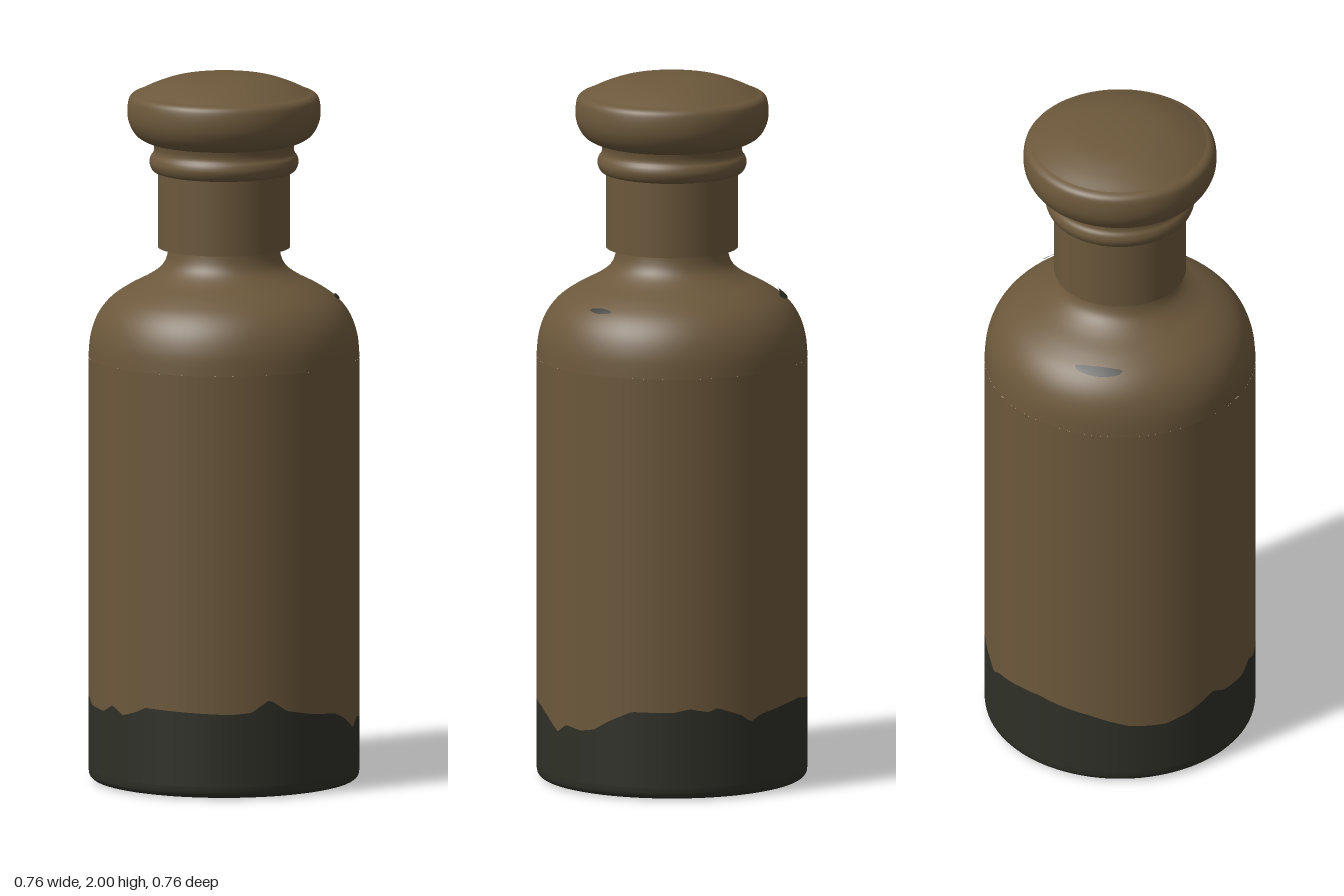
import * as THREE from 'three';

const SEGMENTS = 96;
const RADIUS = 0.38;

// Ragged upper edge of the dark base: [angle in degrees from the front, height]
const EDGE = [
  [-95, 0.235], [-90, 0.25], [-52, 0.24], [-43, 0.245], [-35, 0.28], [-27, 0.245], [-15, 0.23],
  [0, 0.22], [8, 0.2], [17, 0.165], [23, 0.19], [32, 0.182], [39, 0.19], [47, 0.22], [57, 0.25],
  [75, 0.25], [82, 0.26], [90, 0.25], [94, 0.26], [105, 0.235], [110, 0.212], [115, 0.23],
  [131, 0.245], [142, 0.25], [165, 0.228], [183, 0.196], [198, 0.19], [210, 0.21], [222, 0.245],
  [228, 0.225], [243, 0.22], [250, 0.243], [257, 0.22], [265, 0.235],
];

function edgeHeight(x, z) {
  let a = THREE.MathUtils.radToDeg(Math.atan2(x, z));
  if (a < -95) a += 360;
  const i = EDGE.findIndex(([angle]) => angle > a);
  if (i < 1) return EDGE[EDGE.length - 1][1];
  const [a0, h0] = EDGE[i - 1];
  const [a1, h1] = EDGE[i];
  return THREE.MathUtils.mapLinear(a, a0, a1, h0, h1);
}

const vectors = (pairs) => pairs.map(([x, y]) => new THREE.Vector2(x, y));
const curve = (pairs, n) => new THREE.SplineCurve(vectors(pairs)).getPoints(n);

// Open straight wall whose two rims may follow the ragged edge
function wall(low, high) {
  const geometry = new THREE.CylinderGeometry(RADIUS, RADIUS, 1, SEGMENTS * 2, 1, true);
  const p = geometry.attributes.position;
  for (let i = 0; i < p.count; i++) {
    const rim = p.getY(i) > 0 ? high : low;
    p.setY(i, rim === 'edge' ? edgeHeight(p.getX(i), p.getZ(i)) : rim);
  }
  return geometry;
}

// Thin smear lying on the shoulder, tapering towards both ends
function smear(profile, startDegrees, lengthDegrees) {
  const steps = 16;
  const points = profile.map((v) => new THREE.Vector2(v.x + 0.003, v.y + 0.004));
  const geometry = new THREE.LatheGeometry(points, steps,
    THREE.MathUtils.degToRad(startDegrees), THREE.MathUtils.degToRad(lengthDegrees));
  const p = geometry.attributes.position;
  const n = points.length;
  const mid = points[Math.floor(n / 2)];
  for (let i = 0; i <= steps; i++) {
    const width = Math.sqrt(Math.sin((Math.PI * i) / steps));
    for (let j = 0; j < n; j++) {
      const k = i * n + j;
      const r = THREE.MathUtils.lerp(mid.x, points[j].x, width);
      const scale = r / points[j].x;
      p.setXYZ(k, p.getX(k) * scale, THREE.MathUtils.lerp(mid.y, points[j].y, width), p.getZ(k) * scale);
    }
  }
  return geometry;
}

export function createModel() {
  const model = new THREE.Group();
  model.name = 'bottle';

  const brown = new THREE.MeshStandardMaterial({ color: 0x6c583b });
  brown.name = 'brown';
  const dark = new THREE.MeshStandardMaterial({ color: 0x2e3027 });
  dark.name = 'darkGreen';

  const add = (name, geometry, material) => {
    const mesh = new THREE.Mesh(geometry, material);
    mesh.name = name;
    model.add(mesh);
  };
  const lathe = (points) => new THREE.LatheGeometry(points, SEGMENTS);

  // Base: shallow hollow underneath, rounded rim and dark lower wall
  add('underside', lathe(curve([[0, 0.025], [0.15, 0.021], [0.27, 0.01], [0.345, 0]], 12)), dark);
  add('baseRim', lathe(curve([[0.345, 0], [0.366, 0.005], [0.377, 0.016], [0.38, 0.035]], 10)), dark);
  add('lowerWall', wall(0.035, 'edge'), dark);

  // Body and shoulder running up into the neck
  add('upperWall', wall('edge', 1.2), brown);
  const shoulder = curve([[0.38, 1.2], [0.374, 1.26], [0.355, 1.315], [0.321, 1.36], [0.272, 1.395],
    [0.215, 1.425], [0.18, 1.45], [0.163, 1.475], [0.155, 1.51], [0.155, 1.54]], 54);
  add('shoulder', lathe(shoulder), brown);

  // Smears on the shoulder
  const band = (min, max) => shoulder.filter((v) => v.x > min && v.x < max);
  add('backSmear', smear(band(0.297, 0.323), 154, 26), dark);
  add('frontSmear', smear(band(0.306, 0.324), 28, 14), dark);

  // Collar sleeve with an open gap around the neck
  add('collarUnderside', lathe(vectors([[0.15, 1.53], [0.172, 1.53]])), brown);
  add('collarInside', lathe(vectors([[0.172, 1.53], [0.172, 1.51]])), brown);
  add('collarLip', lathe(vectors([[0.172, 1.51], [0.185, 1.51]])), brown);
  add('collar', lathe(vectors([[0.185, 1.51], [0.185, 1.725]])), brown);

  // Bead and short stem under the stopper
  add('bead', lathe(curve([[0.185, 1.722], [0.2, 1.728], [0.209, 1.748], [0.206, 1.766], [0.198, 1.778],
    [0.196, 1.792], [0.2, 1.812]], 24)), brown);

  // Stopper with a bulging side and gently domed top
  add('stopperSide', lathe(curve([[0.195, 1.806], [0.22, 1.812], [0.248, 1.83], [0.266, 1.862], [0.271, 1.895],
    [0.267, 1.928], [0.257, 1.942], [0.242, 1.948]], 32)), brown);
  add('stopperTop', lathe(curve([[0.242, 1.948], [0.2, 1.968], [0.14, 1.988], [0.07, 1.997], [0, 2]], 20)), brown);

  return model;
}
